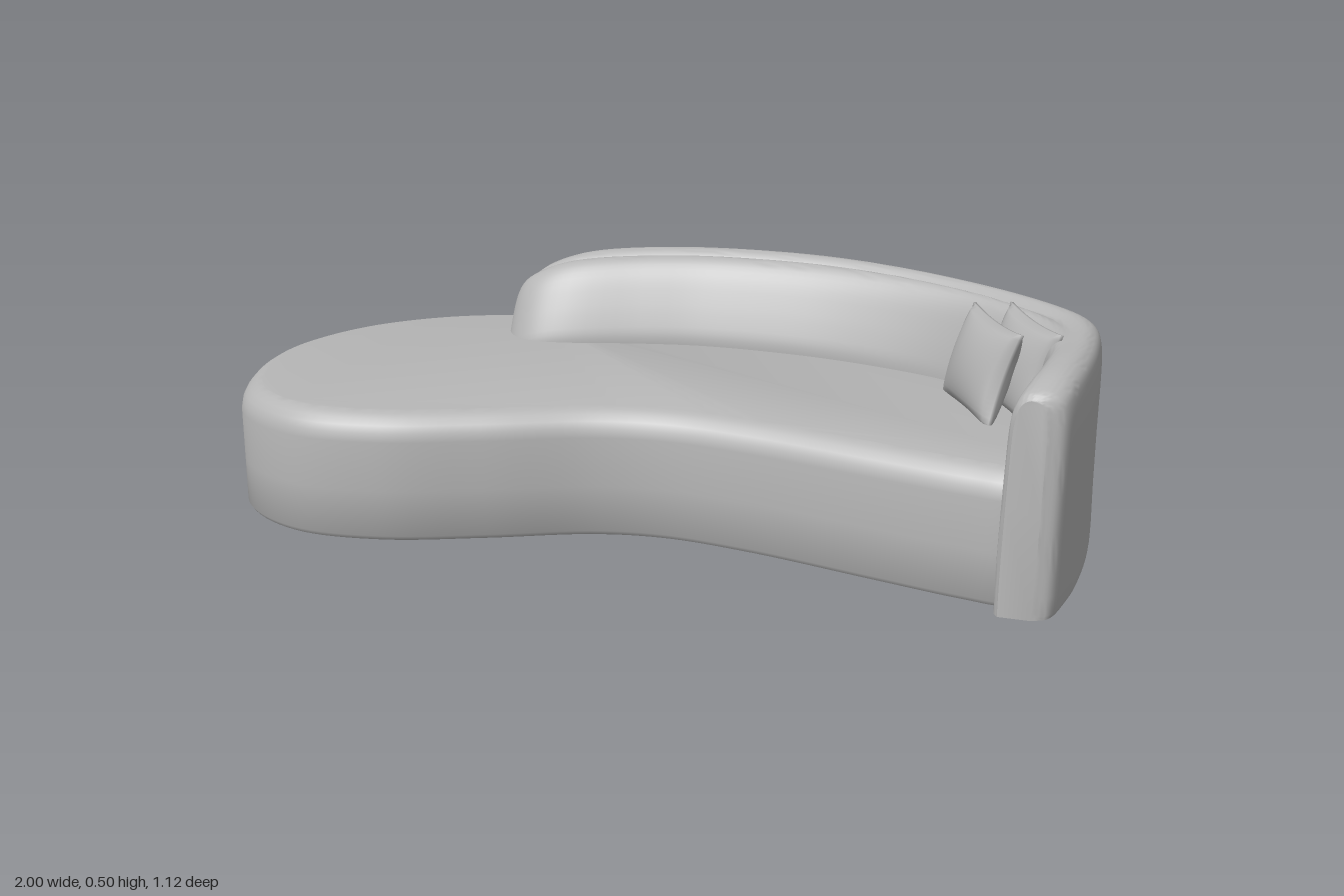
import * as THREE from 'three';
import { toCreasedNormals, mergeVertices } from 'three/addons/utils/BufferGeometryUtils.js';

const fabric = new THREE.MeshStandardMaterial({ color: 0xb5b5b5 });
fabric.name = 'grey fabric';

const V = (x, y, z) => new THREE.Vector3(x, y, z);
const smooth = (pts, closed = false) => new THREE.CatmullRomCurve3(pts, closed, 'centripetal');

// Skin closed rings of points and cap both ends; project flattens a ring for capping
function loft(rings, project) {
  const n = rings[0].length, pos = [], index = [];
  rings.forEach(r => r.forEach(p => pos.push(p.x, p.y, p.z)));
  for (let j = 0; j < rings.length - 1; j++) {
    for (let i = 0; i < n; i++) {
      const k = (i + 1) % n, a = j * n, b = a + n;
      index.push(a + i, b + i, a + k, b + i, b + k, a + k);
    }
  }
  [0, rings.length - 1].forEach(j => {
    const flat = rings[j].map(project);
    const turn = THREE.ShapeUtils.area(flat);
    for (const [a, b, c] of THREE.ShapeUtils.triangulateShape(flat, [])) {
      const same = THREE.ShapeUtils.area([flat[a], flat[b], flat[c]]) * turn > 0;
      const keep = same === (j === 0), o = j * n;
      index.push(o + a, o + (keep ? b : c), o + (keep ? c : b));
    }
  });
  const g = new THREE.BufferGeometry();
  g.setAttribute('position', new THREE.Float32BufferAttribute(pos, 3));
  g.setIndex(index);
  return toCreasedNormals(g, 0.75);
}

// Kidney-shaped seat: outline inset step by step to round the upper edge
function seatGeometry() {
  const outline = smooth([
    [0.8, 0.197], [0.6, 0.192], [0.3, 0.183], [0.1, 0.2], [-0.05, 0.255], [-0.25, 0.39],
    [-0.45, 0.51], [-0.65, 0.558], [-0.83, 0.5], [-0.95, 0.34], [-1, 0.14], [-0.95, -0.09],
    [-0.82, -0.27], [-0.67, -0.378], [-0.58, -0.41], [-0.525, -0.385], [-0.44, -0.34],
    [-0.2, -0.41], [0.15, -0.47], [0.5, -0.42], [0.8, -0.28], [0.91, -0.12], [0.94, 0.05],
    [0.945, 0.13], [0.9, 0.188]
  ].map(([x, z]) => V(x, 0, z)), true);
  const profile = [[0.008, 0.003], [0, 0.014], [0, 0.12], [0, 0.235], [0.004, 0.255],
    [0.012, 0.27], [0.024, 0.283], [0.037, 0.291], [0.05, 0.296]];
  const n = 180;
  const rings = profile.map(([inset, y]) => Array.from({ length: n }, (_, i) => {
    const p = outline.getPoint(i / n), t = outline.getTangent(i / n);
    return V(p.x - t.z * inset, y, p.z + t.x * inset);
  }));
  return loft(rings, p => new THREE.Vector2(p.x, p.z));
}

// Wrap-around backrest: section spans from the outer to the inner line,
// easing from a leaning cushion with a seam groove into a slim arm
function backrestGeometry() {
  // outer x, z, inner x, z, height, arm blend
  const stations = [
    [-0.578, -0.31, -0.578, -0.25, 0.32, 0], [-0.565, -0.34, -0.565, -0.195, 0.40, 0],
    [-0.52, -0.365, -0.5, -0.158, 0.45, 0], [-0.42, -0.41, -0.4, -0.178, 0.486, 0],
    [-0.28, -0.468, -0.22, -0.265, 0.5, 0], [-0.1, -0.53, -0.05, -0.327, 0.504, 0],
    [0.15, -0.563, 0.17, -0.362, 0.506, 0], [0.4, -0.537, 0.36, -0.365, 0.505, 0],
    [0.65, -0.468, 0.55, -0.34, 0.503, 0.2], [0.84, -0.38, 0.7, -0.265, 0.502, 0.45],
    [0.92, -0.3, 0.8, -0.17, 0.502, 0.7], [0.965, -0.15, 0.855, -0.07, 0.502, 0.9],
    [0.99, 0, 0.875, 0.03, 0.502, 1], [0.998, 0.1, 0.88, 0.12, 0.496, 1],
    [0.995, 0.17, 0.88, 0.19, 0.478, 1], [0.965, 0.198, 0.895, 0.212, 0.46, 1]
  ];
  const outer = new THREE.CatmullRomCurve3(stations.map(s => V(s[0], s[4], s[1])), false, 'catmullrom');
  const inner = new THREE.CatmullRomCurve3(stations.map(s => V(s[2], s[5], s[3])), false, 'catmullrom');
  const cushion = smooth([
    [0.95, 0.02], [0.97, 0.4], [1, 0.54], [1, 0.62], [0.94, 0.7], [0.83, 0.81], [0.71, 0.91],
    [0.59, 0.97], [0.48, 0.987], [0.39, 0.965], [0.345, 0.94], [0.3, 0.965], [0.22, 0.992],
    [0.12, 0.995], [0.03, 0.96], [0, 0.9], [0.02, 0.8], [0.05, 0.55], [0.04, 0.3], [0, 0.04],
    [0.02, 0.01]
  ].map(([u, f]) => V(u, f, 0)));
  const arm = smooth([
    [0.98, 0.01], [1, 0.2], [1, 0.4], [0.99, 0.58], [0.98, 0.7], [0.97, 0.8], [0.94, 0.88],
    [0.87, 0.94], [0.77, 0.975], [0.67, 0.99], [0.57, 0.997], [0.46, 1], [0.34, 0.998],
    [0.2, 0.985], [0.07, 0.95], [0.02, 0.89], [0, 0.8], [0, 0.55], [0, 0.3], [0, 0.04],
    [0.02, 0.01]
  ].map(([u, f]) => V(u, f, 0)));
  const steps = 90, n = 60, rings = [];
  for (let j = 0; j <= steps; j++) {
    const o = outer.getPoint(j / steps), i = inner.getPoint(j / steps);
    const blend = THREE.MathUtils.clamp(i.y, 0, 1);
    rings.push(Array.from({ length: n + 1 }, (_, k) => {
      const s = cushion.getPoint(k / n).lerp(arm.getPoint(k / n), blend);
      const z = THREE.MathUtils.lerp(o.z, i.z, s.x);
      // the arm front slopes forward towards the floor
      const lean = 0.032 * (1 - s.y) * THREE.MathUtils.smoothstep(z, 0.05, 0.2);
      return V(THREE.MathUtils.lerp(o.x, i.x, s.x), s.y * o.y, z + lean);
    }));
  }
  return loft(rings, p => new THREE.Vector2(p.x - p.z, p.y));
}

// Square pillow: plump middle, thin seam and pulled-in sides
function pillowGeometry(w, h, t) {
  let g = new THREE.BoxGeometry(2, 2, 2, 18, 18, 1);
  const p = g.attributes.position;
  for (let i = 0; i < p.count; i++) {
    const u = p.getX(i), v = p.getY(i);
    const puff = Math.pow(Math.max(0, (1 - u * u) * (1 - v * v)), 0.5);
    p.setXYZ(i,
      u * w / 2 * (1 - 0.1 * (1 - v * v)),
      v * h / 2 * (1 - 0.08 * (1 - u * u)),
      Math.sign(p.getZ(i)) * (0.004 + t / 2 * puff));
  }
  g.deleteAttribute('normal');
  g.deleteAttribute('uv');
  g = mergeVertices(g);
  g.computeVertexNormals();
  return g;
}

export function createModel() {
  const group = new THREE.Group();
  group.name = 'curvedSofa';
  const add = (name, geometry) => {
    const mesh = new THREE.Mesh(geometry, fabric);
    mesh.name = name;
    group.add(mesh);
    return mesh;
  };
  add('seat', seatGeometry());
  add('backrest', backrestGeometry());

  // Two pillows leaning into the corner
  const pillow = pillowGeometry(0.28, 0.22, 0.09);
  [['frontPillow', 0.685, 0.39, -0.2, -0.3], ['rearPillow', 0.775, 0.4, -0.205, -0.25]]
    .forEach(([name, x, y, z, tilt]) => {
      const m = add(name, pillow);
      m.position.set(x, y, z);
      m.rotation.set(tilt, -0.86, 0, 'YXZ');
    });
  return group;
}
